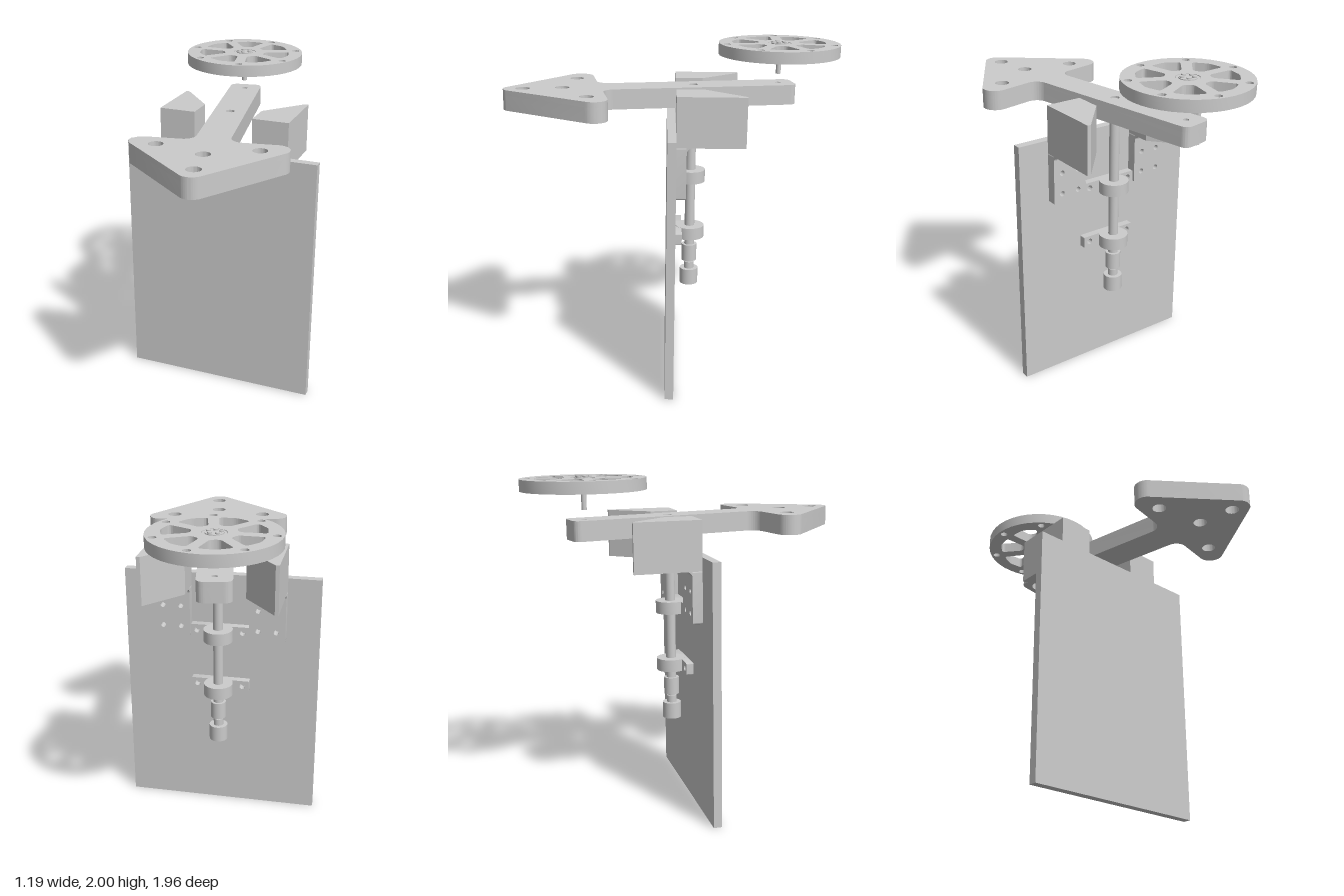
import * as THREE from 'three';
import { toCreasedNormals } from 'three/addons/utils/BufferGeometryUtils.js';

const material = new THREE.MeshStandardMaterial({ color: 0xcccccc });

function add(parent, name, geometry, x = 0, y = 0, z = 0) {
  const mesh = new THREE.Mesh(geometry, material);
  mesh.name = name;
  mesh.position.set(x, y, z);
  parent.add(mesh);
  return mesh;
}

// Upright cylinder between two heights
function rod(parent, name, r, y0, y1, x, z, sides = 40) {
  return add(parent, name, new THREE.CylinderGeometry(r, r, y1 - y0, sides), x, (y0 + y1) / 2, z);
}

function extrude(shape, depth) {
  const g = new THREE.ExtrudeGeometry(shape, { depth, bevelEnabled: false, curveSegments: 20 });
  return toCreasedNormals(g, 0.5);
}

// Horizontal slab: shape (x, z), top face at y = 0, growing downwards
const slab = (shape, depth) => extrude(shape, depth).rotateX(Math.PI / 2);

function circle(x, y, r) {
  return new THREE.Path().absarc(x, y, r, 0, Math.PI * 2, true);
}

// Closed polygon with softened corners
function roundedPath(points, r, path = new THREE.Path()) {
  const p = points.map(([x, y]) => new THREE.Vector2(x, y));
  p.forEach((c, i) => {
    const toward = (q) => c.clone().add(q.clone().sub(c).setLength(r));
    const a = toward(p[(i + p.length - 1) % p.length]);
    const b = toward(p[(i + 1) % p.length]);
    if (i === 0) path.moveTo(a.x, a.y); else path.lineTo(a.x, a.y);
    path.quadraticCurveTo(c.x, c.y, b.x, b.y);
  });
  path.closePath();
  return path;
}

// Arrow outline: straight shank, two round lobes and a round tip
function arrowShape(pivotHole, axleHole) {
  const w = 0.097, end = -0.72, c = 0.05, r = 0.075, f = 0.07;
  const lobe = [0.36, 0.515], tip = 0.918;
  const a = Math.atan2(lobe[0], tip - lobe[1]);
  const shoulder = lobe[1] - r;
  const s = new THREE.Shape();
  s.moveTo(-w + c, end);
  s.lineTo(w - c, end);
  s.quadraticCurveTo(w, end, w, end + c);
  s.lineTo(w, shoulder - f);
  s.absarc(w + f, shoulder - f, f, Math.PI, Math.PI / 2, true);
  s.absarc(lobe[0], lobe[1], r, -Math.PI / 2, Math.PI / 2 - a, false);
  s.absarc(0, tip, r, Math.PI / 2 - a, Math.PI / 2 + a, false);
  s.absarc(-lobe[0], lobe[1], r, Math.PI / 2 + a, Math.PI * 1.5, false);
  s.absarc(-w - f, shoulder - f, f, Math.PI / 2, 0, true);
  s.lineTo(-w, end + c);
  s.quadraticCurveTo(-w, end, -w + c, end);
  for (const [x, y] of [[-0.28, 0.547], [0.28, 0.547], [0, 0.658], [0, 0.882]]) {
    s.holes.push(circle(x, y, 0.041));
  }
  s.holes.push(circle(0, -0.63, pivotHole), circle(0, -0.112, axleHole));
  return s;
}

function buildArm(parent) {
  const arm = new THREE.Group();
  arm.name = 'arrowArm';
  arm.position.set(0.025, 1.762, 0.022);
  arm.rotation.y = 0.182;
  add(arm, 'armUpperLayer', slab(arrowShape(0.017, 0.026), 0.03));
  // The lower layer has wider bearing pockets
  add(arm, 'armLowerLayer', slab(arrowShape(0.055, 0.032), 0.087), 0, -0.03, 0);
  parent.add(arm);
}

function buildWheel(parent) {
  const wheel = new THREE.Group();
  wheel.name = 'wheel';
  wheel.position.set(-0.09, 0, -0.596);
  const rim = new THREE.Shape().absarc(0, 0, 0.36, 0, Math.PI * 2, false);
  rim.holes.push(circle(0, 0, 0.069));
  const windowCorners = [[0.125, -0.028], [0.26, -0.09], [0.286, 0], [0.26, 0.09], [0.125, 0.028]];
  for (let i = 0; i < 7; i++) {
    const a = (i / 7) * Math.PI * 2, b = a + Math.PI / 7;
    const ca = Math.cos(a), sa = Math.sin(a);
    rim.holes.push(roundedPath(windowCorners.map(([x, y]) => [x * ca - y * sa, x * sa + y * ca]), 0.024));
    rim.holes.push(circle(0.322 * Math.cos(b), 0.322 * Math.sin(b), 0.022));
  }
  add(wheel, 'spokedDisc', slab(rim, 0.068), 0, 1.996, 0);
  rod(wheel, 'hub', 0.067, 1.93, 1.994, 0, 0);
  rod(wheel, 'hubFlange', 0.052, 1.918, 1.999, 0, 0);
  rod(wheel, 'wheelPin', 0.015, 1.815, 1.95, 0, 0, 24);
  for (let i = 0; i < 5; i++) {
    const a = (i / 5) * Math.PI * 2 + 0.3;
    rod(wheel, 'hubBolt', 0.013, 1.911, 2.007, 0.035 * Math.cos(a), 0.035 * Math.sin(a), 16);
  }
  parent.add(wheel);
}

// Wedge-shaped stop with a drilled mounting plate below it
function buildBracket(parent, side) {
  const bracket = new THREE.Group();
  bracket.name = side > 0 ? 'leftBracket' : 'rightBracket';
  const pts = [[0.18, 0.015], [0.4, 0.015], [0.4, -0.378], [0.378, -0.378], [0.18, -0.15]];
  const outline = new THREE.Shape(pts.map(([x, z]) => new THREE.Vector2(x * side, z)));
  add(bracket, 'stopBlock', slab(outline, 0.29), 0, 1.765, 0);

  const plate = new THREE.Shape();
  roundedPath([[-0.11, 1.17], [0.11, 1.17], [0.11, 1.48], [-0.11, 1.48]], 0.012, plate);
  for (const x of [-0.055, 0.055]) for (const y of [1.23, 1.36]) plate.holes.push(circle(x, y, 0.016));
  add(bracket, 'mountingPlate', extrude(plate, 0.06), 0.29 * side, 0, -0.045);

  // Inner fillet between plate and block
  const f = 0.035;
  const fillet = new THREE.Shape();
  fillet.moveTo(0, 0);
  fillet.lineTo(f, 0);
  fillet.absarc(f, -f, f, Math.PI / 2, Math.PI, false);
  fillet.lineTo(0, 0);
  add(bracket, 'fillet', extrude(fillet, 0.22).rotateY(Math.PI / 2).translate(-0.11, 0, 0),
    0.29 * side, 1.476, -0.044);
  parent.add(bracket);
}

// Bearing collar on a drilled strap
function buildBearing(parent, y) {
  const bearing = new THREE.Group();
  bearing.name = 'shaftBearing';
  const h = 0.072, axleZ = -0.08;
  const strap = new THREE.Shape();
  roundedPath([[-0.18, 0], [0.18, 0], [0.18, h], [-0.18, h]], 0.006, strap);
  for (const x of [-0.14, 0.14]) strap.holes.push(circle(x, h / 2, 0.018));
  add(bearing, 'strap', extrude(strap, 0.045), 0, y, -0.03);
  add(bearing, 'neck', new THREE.BoxGeometry(0.13, h, 0.06), 0, y + h / 2, -0.02);
  const ring = new THREE.Shape().absarc(0, 0, 0.088, 0, Math.PI * 2, false);
  ring.holes.push(circle(0, 0, 0.029));
  add(bearing, 'collar', slab(ring, h + 0.002), 0, y + h + 0.001, axleZ);
  parent.add(bearing);
}

export function createModel() {
  const model = new THREE.Group();
  model.name = 'arrowSignMechanism';

  // The whole assembly leans back very slightly
  const body = new THREE.Group();
  body.name = 'assembly';
  body.rotation.x = -0.013;
  model.add(body);

  add(body, 'backPanel', new THREE.BoxGeometry(1.19, 1.555, 0.05), -0.003, 0.7775, 0.04);
  for (const side of [-1, 1]) buildBracket(body, side);
  for (const y of [1.17, 0.812]) buildBearing(body, y);

  // Vertical drive shaft with its couplings
  const z = -0.08;
  rod(body, 'driveShaft', 0.03, 0.75, 1.65, 0, z);
  rod(body, 'shaftTip', 0.025, 1.64, 1.75, 0, z, 32);
  rod(body, 'upperCoupling', 0.046, 0.655, 0.76, 0, z);
  rod(body, 'couplingNeck', 0.02, 0.63, 0.66, 0, z);
  rod(body, 'couplingStub', 0.03, 0.59, 0.642, 0, z);
  rod(body, 'lowerCoupling', 0.056, 0.502, 0.6, 0, z);

  buildArm(body);
  buildWheel(body);
  return model;
}
